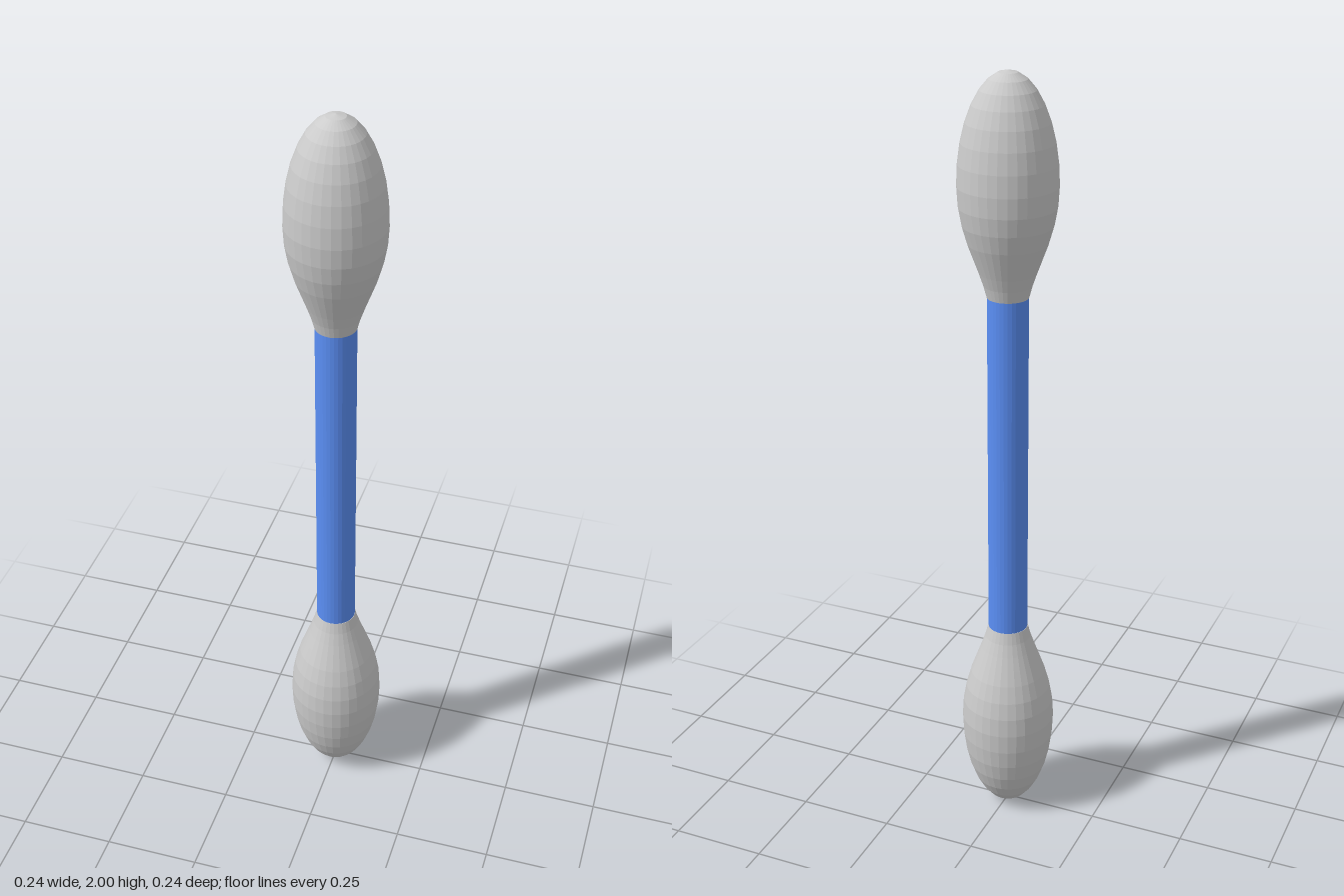
import * as THREE from 'three';

const SIDES = 32;

// Bud profile, from the neck on the shaft up to the rounded tip
function budProfile() {
  const centre = 1.73, radius = 0.122, height = 0.27;
  const points = [[0, 1.455], [0.052, 1.455], [0.06, 1.485], [0.071, 1.517], [0.084, 1.552], [0.098, 1.59], [0.111, 1.635], [0.119, 1.68]]
    .map(([r, y]) => new THREE.Vector2(r, y));
  for (let i = 0; i <= 8; i++) {
    const a = (i / 8) * Math.PI / 2;
    points.push(new THREE.Vector2(i === 8 ? 0 : radius * Math.cos(a), centre + height * Math.sin(a)));
  }
  return points;
}

export function createModel() {
  const group = new THREE.Group();
  const cotton = new THREE.MeshStandardMaterial({ color: 0xcccccc, flatShading: true });
  const blue = new THREE.MeshStandardMaterial({ color: 0x5b8ff5, flatShading: true });

  // Straight shaft
  const shaft = new THREE.Mesh(new THREE.CylinderGeometry(0.051, 0.051, 0.91, SIDES), blue);
  shaft.name = 'shaft';
  shaft.position.y = 1;
  group.add(shaft);

  // Cotton buds, the lower one turned over about the middle
  const budGeometry = new THREE.LatheGeometry(budProfile(), SIDES).translate(0, -1, 0);
  for (const [name, turn] of [['topBud', 0], ['bottomBud', Math.PI]]) {
    const bud = new THREE.Mesh(budGeometry, cotton);
    bud.name = name;
    bud.position.y = 1;
    bud.rotation.x = turn;
    group.add(bud);
  }
  return group;
}
